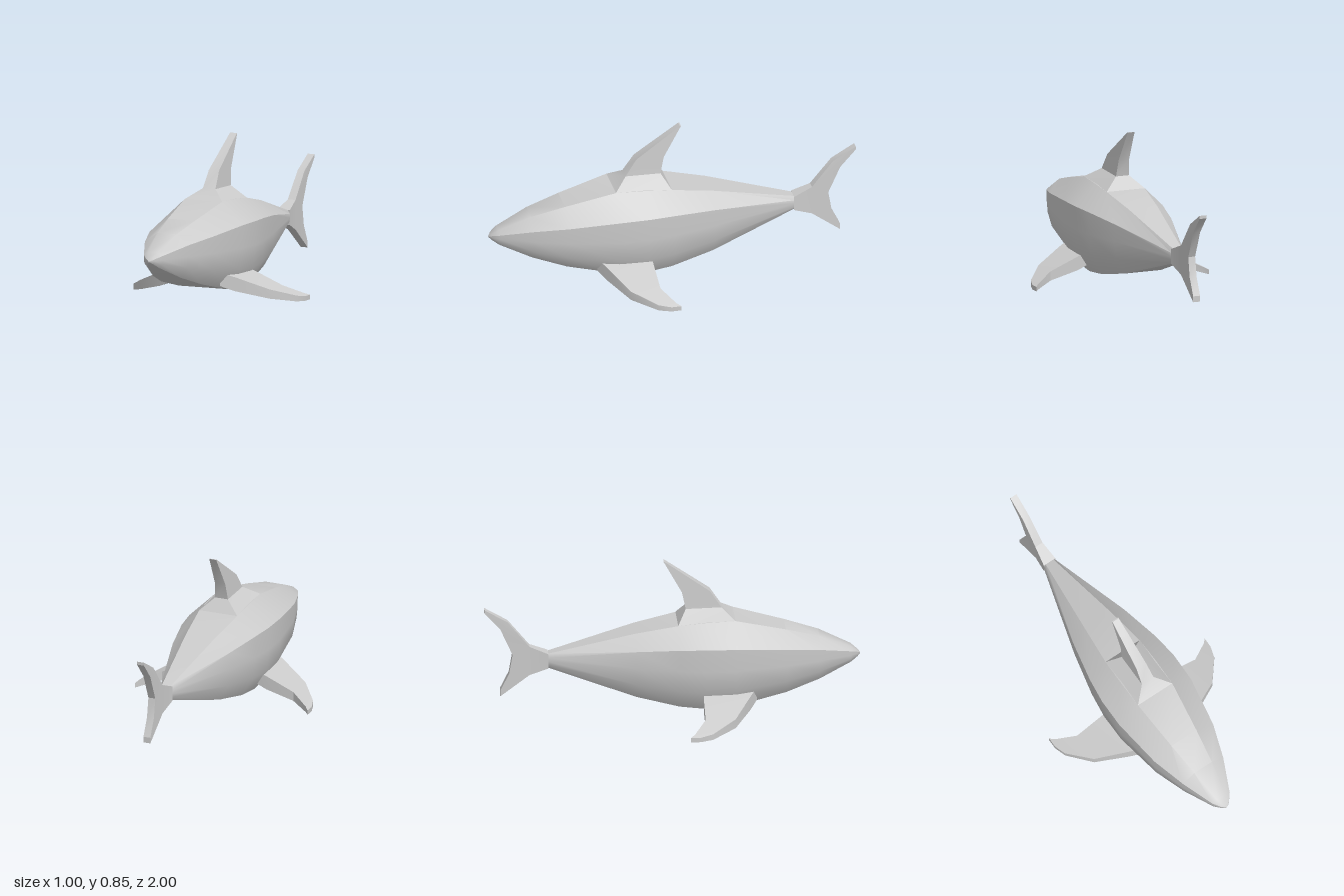
import * as THREE from 'three';
import { toCreasedNormals } from 'three/addons/utils/BufferGeometryUtils.js';

const material = new THREE.MeshStandardMaterial({ color: 0xcccccc });

function addPart(group, name, geometry, crease = 0.6) {
  const mesh = new THREE.Mesh(toCreasedNormals(geometry, crease), material);
  mesh.name = name;
  group.add(mesh);
}

// Skins closed rings of [x, y, z] points; rings run counterclockwise about the loft direction
function loft(rings) {
  const n = rings[0].length;
  const index = [];
  for (let i = 0; i < rings.length - 1; i++) {
    for (let j = 0; j < n; j++) {
      const a = i * n + j, b = i * n + (j + 1) % n;
      index.push(a, b, b + n, a, b + n, a + n);
    }
  }
  const last = (rings.length - 1) * n;
  for (let j = 1; j < n - 1; j++) {
    index.push(0, j + 1, j, last, last + j, last + j + 1);
  }
  const geometry = new THREE.BufferGeometry();
  geometry.setAttribute('position', new THREE.Float32BufferAttribute(rings.flat(2), 3));
  geometry.setIndex(index);
  return geometry.toNonIndexed();
}

// One body ring: flat back, sloped shoulders, rounded flanks, flat belly
function bodyRing([z, halfWidth, backWidth, backY, shoulderY, bellyY]) {
  const flank = (t) => bellyY + (shoulderY - bellyY) * t;
  const half = [
    [halfWidth * 0.63, bellyY],
    [halfWidth * 0.945, flank(0.31)],
    [halfWidth * 0.99, flank(0.65)],
    [halfWidth, shoulderY],
    [backWidth, backY],
  ];
  return [
    ...half.map(([x, y]) => [x, y, z]),
    ...half.reverse().map(([x, y]) => [-x, y, z]),
  ];
}

export function createModel() {
  const group = new THREE.Group();
  group.name = 'shark';

  // Body: z, half width, back half width, back y, shoulder y, belly y
  const stations = [
    [-0.66, 0.037, 0.025, 0.345, 0.325, 0.265],
    [-0.2, 0.165, 0.084, 0.468, 0.393, 0.118],
    [0.03, 0.214, 0.11, 0.515, 0.413, 0.068],
    [0.17, 0.231, 0.112, 0.528, 0.417, 0.055],
    [0.33, 0.23, 0.11, 0.535, 0.416, 0.068],
    [0.6, 0.188, 0.08, 0.47, 0.392, 0.13],
    [0.78, 0.13, 0.056, 0.42, 0.367, 0.188],
    [0.95, 0.055, 0.028, 0.345, 0.327, 0.262],
    [0.985, 0.026, 0.013, 0.318, 0.313, 0.285],
    [1.0, 0.004, 0.002, 0.302, 0.301, 0.297],
  ];
  addPart(group, 'body', loft(stations.map(bodyRing)));

  // Dorsal fin with its flared base: half width, front z, front y, back z, back y
  const dorsal = [
    [0.11, 0.33, 0.535, 0.025, 0.515],
    [0.037, 0.26, 0.588, 0.07, 0.583],
    [0.03, 0.2, 0.678, 0.05, 0.675],
    [0.02, -0.04, 0.845, -0.046, 0.845],
  ];
  addPart(group, 'dorsalFin', loft(dorsal.map(([w, zf, yf, zb, yb]) => [
    [-w, yf, zf], [w, yf, zf], [w, yb, zb], [-w, yb, zb],
  ])), 0.4);

  // Pectoral fins: x, front z, back z, top y, bottom y
  const pectoral = [
    [0.15, 0.44, 0.16, 0.172, 0.1],
    [0.22, 0.402, 0.153, 0.147, 0.072],
    [0.38, 0.312, 0.152, 0.08, 0.03],
    [0.48, 0.185, 0.088, 0.035, 0.004],
    [0.5, 0.12, 0.065, 0.025, 0],
  ];
  for (const side of [1, -1]) {
    const rings = pectoral.map(([x, zf, zb, top, bottom]) => [
      [side * x, top, zb], [side * x, top, zf], [side * x, bottom, zf], [side * x, bottom, zb],
    ]);
    if (side < 0) rings.reverse();
    addPart(group, side > 0 ? 'leftPectoralFin' : 'rightPectoralFin', loft(rings), 0.4);
  }

  // Tail fin outline as [z, y], extruded across x and thickened toward the body
  const outline = [
    [-0.66, 0.265], [-0.76, 0.225], [-0.915, 0.108], [-0.915, 0.14], [-0.868, 0.235],
    [-0.85, 0.34], [-0.915, 0.485], [-1, 0.58], [-1, 0.597], [-0.875, 0.525],
    [-0.76, 0.385], [-0.66, 0.345],
  ];
  const tail = new THREE.ExtrudeGeometry(
    new THREE.Shape(outline.map(([z, y]) => new THREE.Vector2(-z, y))),
    { depth: 2, bevelEnabled: false },
  );
  tail.translate(0, 0, -1).rotateY(Math.PI / 2);
  const position = tail.attributes.position;
  for (let i = 0; i < position.count; i++) {
    const t = THREE.MathUtils.clamp((position.getZ(i) + 0.78) / 0.12, 0, 1);
    position.setX(i, position.getX(i) * (0.02 + 0.017 * t));
  }
  addPart(group, 'tailFin', tail, 0.4);

  return group;
}
